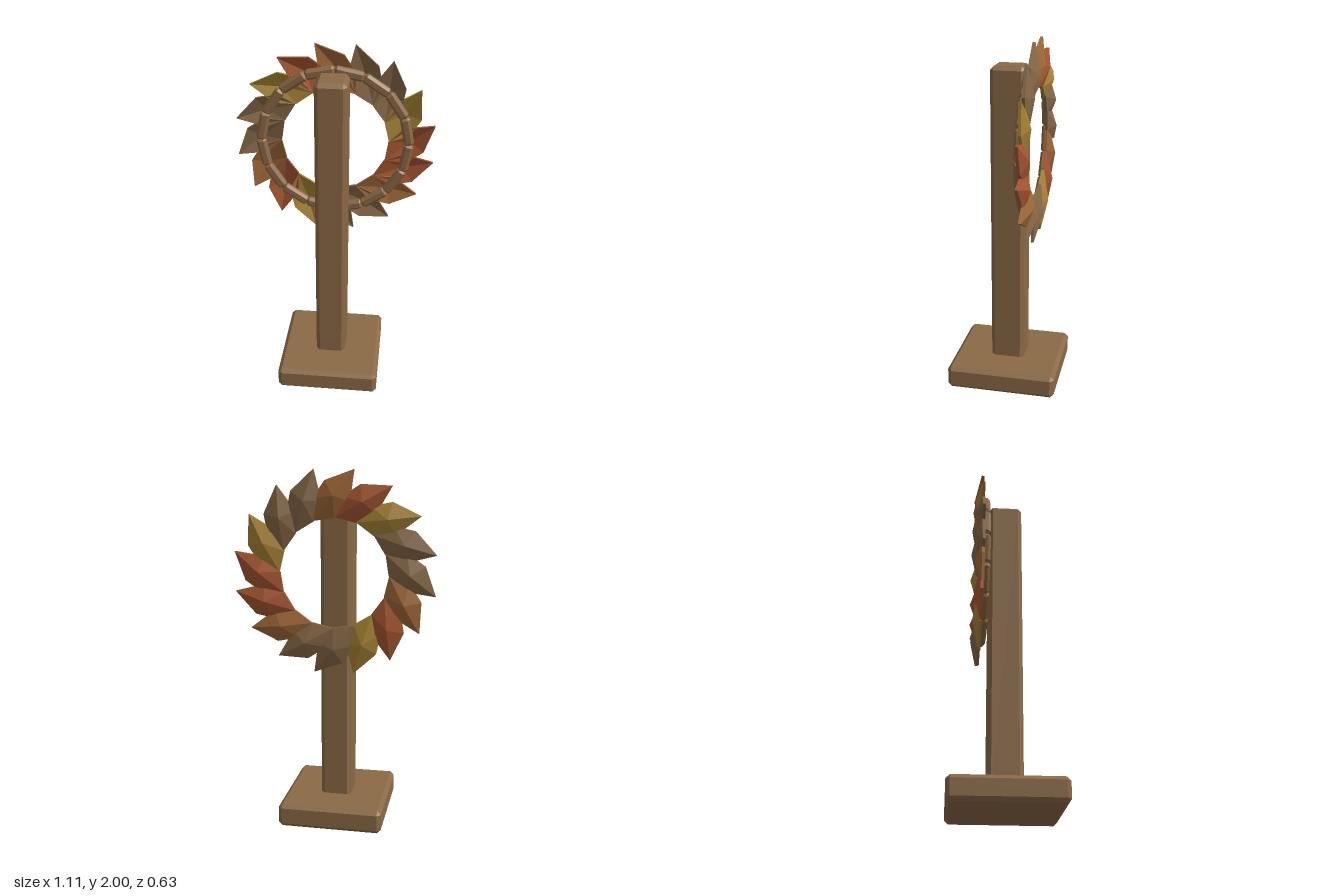
import * as THREE from 'three';
import { ConvexGeometry } from 'three/addons/geometries/ConvexGeometry.js';

const paint = (name, color) => {
  const m = new THREE.MeshStandardMaterial({ color });
  m.name = name;
  return m;
};

// Box with every edge cut at 45 degrees by c
function chamferBox(w, h, d, c) {
  const pts = [];
  for (const sx of [-1, 1]) for (const sy of [-1, 1]) for (const sz of [-1, 1]) {
    for (let axis = 0; axis < 3; axis++) {
      const inset = [0, 1, 2].map((a) => (a === axis ? 0 : c));
      pts.push(new THREE.Vector3(
        sx * (w / 2 - inset[0]), sy * (h / 2 - inset[1]), sz * (d / 2 - inset[2])));
    }
  }
  return new ConvexGeometry(pts);
}

// Faceted leaf shell pointing along +x, bulging towards -z
function leafGeometry() {
  const edge = 0.016, bulge = 0.035;
  const outline = [
    [0.176, 0], [0.03, 0.088], [-0.09, 0.078],
    [-0.176, 0], [-0.09, -0.078], [0.03, -0.088],
  ];
  const at = ([x, y], z) => [x, y, z];
  const pos = [];
  const tri = (a, b, c) => pos.push(...a, ...b, ...c);
  const peakFront = [0, 0, -bulge], peakBack = [0, 0, -bulge - edge];
  outline.forEach((p, i) => {
    const q = outline[(i + 1) % outline.length];
    const pf = at(p, 0), qf = at(q, 0), pb = at(p, -edge), qb = at(q, -edge);
    tri(peakFront, pf, qf);
    tri(peakBack, qb, pb);
    tri(pf, pb, qb);
    tri(pf, qb, qf);
  });
  const g = new THREE.BufferGeometry();
  g.setAttribute('position', new THREE.Float32BufferAttribute(pos, 3));
  g.computeVertexNormals();
  return g;
}

export function createModel() {
  const model = new THREE.Group();
  model.name = 'wreathPost';

  const wood = paint('wood', 0x8c6a46);
  const leafColors = {
    b: paint('brownLeaf', 0x876847),
    o: paint('orangeLeaf', 0x9f6838),
    r: paint('rustLeaf', 0xa65631),
    y: paint('yellowLeaf', 0xa98536),
  };

  const add = (parent, name, geometry, material, x, y, z) => {
    const mesh = new THREE.Mesh(geometry, material);
    mesh.name = name;
    mesh.position.set(x, y, z);
    parent.add(mesh);
    return mesh;
  };

  // Stand
  add(model, 'base', chamferBox(0.59, 0.135, 0.63, 0.022), wood, 0, 0.0675, 0);
  add(model, 'post', chamferBox(0.176, 1.765, 0.196, 0.022), wood, 0, 0.9825, -0.001);

  // Wreath hanging behind the post
  const wreath = new THREE.Group();
  wreath.name = 'wreath';
  wreath.position.set(0, 1.445, 0);
  model.add(wreath);

  const count = 16, step = (Math.PI * 2) / count;
  const segment = chamferBox(0.056, 0.168, 0.045, 0.014);
  const leaf = leafGeometry();
  const order = 'rybborybborybbor'; // counter-clockwise from the model's left

  for (let i = 0; i < count; i++) {
    // Ring segment, joints falling under the leaf centres
    const a = (i + 0.5) * step;
    add(wreath, 'ringSegment', segment, wood, 0.41 * Math.cos(a), 0.41 * Math.sin(a), -0.13)
      .rotation.z = a;

    // Leaf swept round the ring
    const b = i * step;
    add(wreath, 'leaf', leaf, leafColors[order[i]], 0.42 * Math.cos(b), 0.42 * Math.sin(b), -0.142)
      .rotation.z = b + THREE.MathUtils.degToRad(39);
  }

  return model;
}
